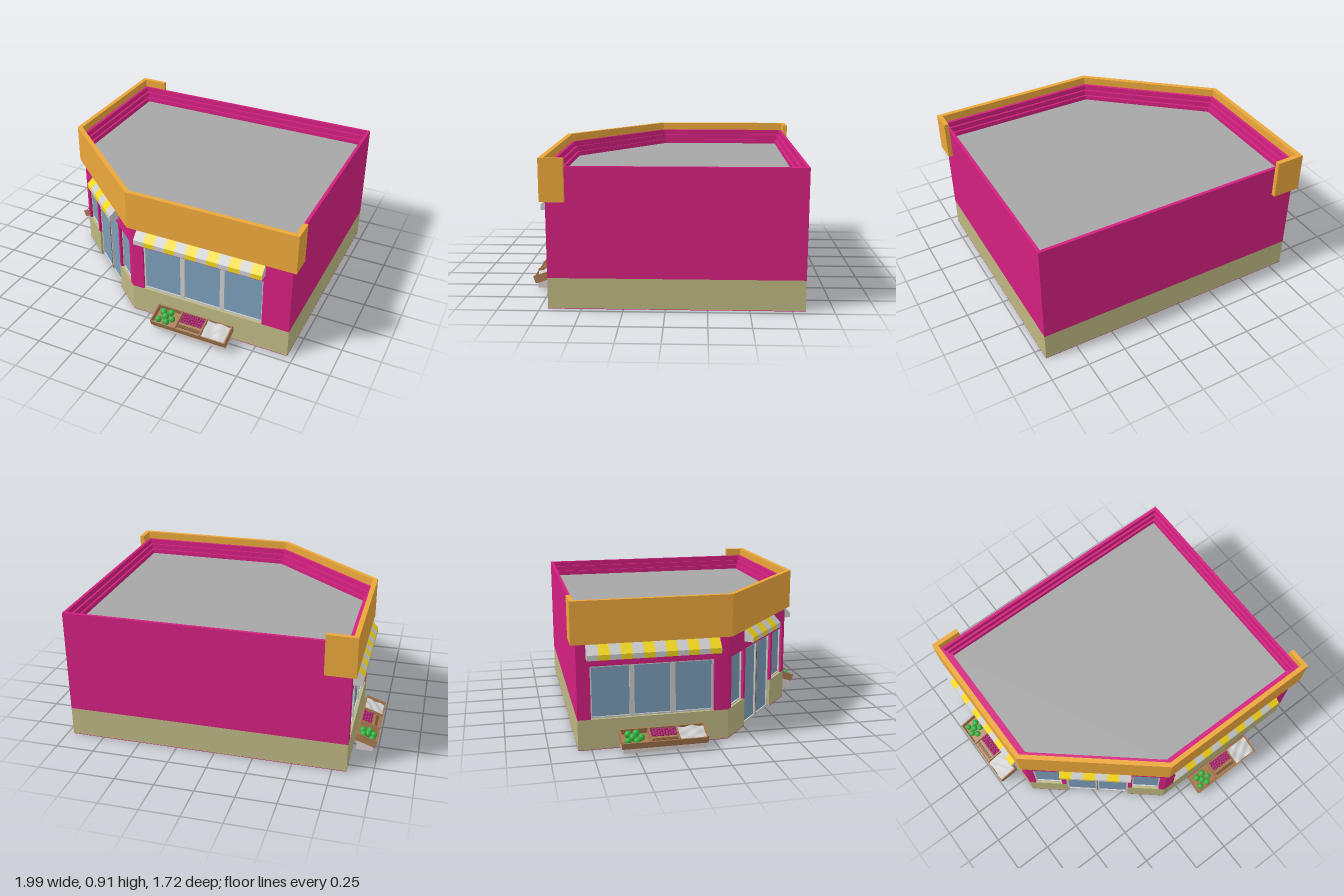
import * as THREE from 'three';

const mat = (color) => new THREE.MeshStandardMaterial({ color });
const M = {
  pink: mat(0xd4207f), khaki: mat(0xbdb782), orange: mat(0xeba73a), glass: mat(0x7b9db8),
  grey: mat(0xcccccc), roof: mat(0xa6a6a6), yellow: mat(0xf0d51c), wood: mat(0xa87a50),
  darkWood: mat(0x74512f), green: mat(0x35b040), grape: mat(0xa81f6c), stand: mat(0xd8cccb),
};

// Footprint corners (x, z); each wall runs left to right as seen from outside
const PLAN = [[-0.84, -0.83], [-0.84, 0.09], [-0.12, 0.70], [0.96, 0.70], [0.96, -0.83]];
const N = PLAN.length, THICK = 0.05, BASE = 0.19, HEAD = 0.515;
const edge = (i) => {
  const [a, b] = [PLAN[(i + N) % N], PLAN[(i + 1 + N) % N]];
  const L = Math.hypot(b[0] - a[0], b[1] - a[1]);
  return { a, L, dx: (b[0] - a[0]) / L, dz: (b[1] - a[1]) / L };
};
// tan of half the turn at corner i, used for mitres
const mitre = (i) => {
  const p = edge(i - 1), q = edge(i);
  return Math.tan(Math.acos(p.dx * q.dx + p.dz * q.dz) / 2);
};
// Footprint grown by d (negative shrinks)
const offset = (d) => PLAN.map(([x, z], i) => {
  const e = edge(i), m = mitre(i);
  return [x - d * e.dx * m - d * e.dz, z - d * e.dz * m + d * e.dx];
});

function add(parent, name, geometry, material, x = 0, y = 0, z = 0) {
  const mesh = new THREE.Mesh(geometry, material);
  mesh.name = name;
  mesh.position.set(x, y, z);
  parent.add(mesh);
  return mesh;
}
const box = (parent, name, material, w, h, d, x, y, z) =>
  add(parent, name, new THREE.BoxGeometry(w, h, d), material, x, y, z);

// Plan outline (x, z) raised from y0 to y1, with an optional hole
function slab(parent, name, material, outline, y0, y1, hole) {
  const v = (pts) => pts.map(([x, z]) => new THREE.Vector2(x, -z));
  const shape = new THREE.Shape(v(outline));
  if (hole) shape.holes.push(new THREE.Path(v(hole)));
  const g = new THREE.ExtrudeGeometry(shape, { depth: y1 - y0, bevelEnabled: false });
  return add(parent, name, g.rotateX(-Math.PI / 2), material, 0, y0, 0);
}

// One band of a wall, cut by openings [left, right, sill], with mitred ends
function wallBand(parent, name, material, i, y0, y1, openings) {
  const { L } = edge(i), shapes = [];
  let pts = [[0, y1], [0, y0]];
  const close = () => shapes.push(new THREE.Shape(pts.map((p) => new THREE.Vector2(...p))));
  for (const [a, b, sill] of openings) {
    if (sill > y0) continue;
    pts.push([a, y0]);
    if (HEAD >= y1) {
      pts.push([a, y1]);
      close();
      pts = [[b, y1], [b, y0]];
    } else pts.push([a, HEAD], [b, HEAD], [b, y0]);
  }
  pts.push([L, y0], [L, y1]);
  close();
  const g = new THREE.ExtrudeGeometry(shapes, { depth: THICK, bevelEnabled: false });
  g.translate(0, 0, -THICK);
  const p = g.attributes.position;
  for (let k = 0; k < p.count; k++) {
    if (p.getZ(k) > -THICK / 2) continue;
    if (p.getX(k) < 1e-4) p.setX(k, THICK * mitre(i));
    else if (p.getX(k) > L - 1e-4) p.setX(k, L - THICK * mitre((i + 1) % N));
  }
  g.computeVertexNormals();
  add(parent, name, g, material);
}

// Glazed panel set back in an opening, divided into equal panes
function glazing(parent, name, a, b, sill, panes, bar, mullion) {
  const g = new THREE.Group(), w = b - a, h = HEAD - sill, cx = (a + b) / 2, cy = (sill + HEAD) / 2;
  g.name = name;
  parent.add(g);
  box(g, 'backing', M.grey, w, h, 0.016, cx, cy, -0.036);
  box(g, 'glass', M.glass, w - bar, h - bar, 0.004, cx, cy, -0.026);
  for (const s of [-1, 1]) {
    box(g, 'frameSide', M.grey, bar, h, 0.014, cx + s * (w - bar) / 2, cy, -0.022);
    box(g, 'frameRail', M.grey, w, bar, 0.013, cx, cy + s * (h - bar) / 2, -0.022);
  }
  for (let k = 1; k < panes; k++)
    box(g, 'mullion', M.grey, mullion, h, 0.016, a + (w * k) / panes, cy, -0.022);
}

// Striped awning with a sloped top and a short front lip
function awning(parent, a, b, count, first) {
  const g = new THREE.Group(), w = (b - a) / count;
  g.name = 'awning';
  parent.add(g);
  const profile = new THREE.Shape([[0, 0.565], [-0.06, 0.565], [-0.06, 0.597], [0, 0.655]]
    .map((p) => new THREE.Vector2(...p)));
  for (let k = 0; k < count; k++) {
    const s = new THREE.ExtrudeGeometry(profile, { depth: w, bevelEnabled: false }).rotateY(Math.PI / 2);
    add(g, 'awningStripe', s, (k + first) % 2 ? M.yellow : M.grey, a + k * w, 0, 0);
  }
  for (const x of [a - 0.001, b])
    add(g, 'awningEnd', new THREE.ExtrudeGeometry(profile, { depth: 0.001, bevelEnabled: false })
      .rotateY(Math.PI / 2), M.grey, x, 0, 0);
}

// Tilted three-bay produce crate on a low stand
function produceCrate(parent, cx) {
  const g = new THREE.Group();
  g.name = 'produceCrate';
  g.position.x = cx;
  parent.add(g);
  const side = new THREE.Shape([[-0.13, 0.012], [-0.025, 0.012], [-0.025, 0.088], [-0.13, 0.05]]
    .map((p) => new THREE.Vector2(...p)));
  add(g, 'stand', new THREE.ExtrudeGeometry(side, { depth: 0.5, bevelEnabled: false })
    .rotateY(Math.PI / 2), M.stand, -0.25, 0, 0);

  const t = new THREE.Group(), W = 0.52, D = 0.137, H = 0.05;
  t.name = 'tray';
  t.position.set(0, 0.088, 0.086);
  t.rotation.x = 0.33;
  g.add(t);
  box(t, 'trayFloor', M.wood, W, 0.006, D, 0, -H / 2 + 0.003, 0);
  for (const s of [-1, 1]) box(t, 'traySide', M.wood, W, H - 0.008, 0.007, 0, -0.004, s * (D / 2 - 0.0035));
  for (let k = 0; k < 4; k++) {
    const x = (k / 3 - 0.5) * (W - 0.008);
    box(t, 'trayDivider', M.wood, 0.008, H, D, x, 0, 0);
  }
  // Green vegetables
  for (const [x, z, r] of [[-0.21, -0.03, 0.023], [-0.16, -0.037, 0.022], [-0.185, 0.0, 0.024],
    [-0.135, 0.005, 0.021], [-0.22, 0.032, 0.021], [-0.165, 0.036, 0.022]])
    add(t, 'vegetable', new THREE.SphereGeometry(r, 12, 8), M.green, x, 0.006, z);
  // Purple fruit in rows, with slats in front
  for (let r = 0; r < 4; r++) for (let c = 0; c < 10; c++)
    add(t, 'fruit', new THREE.SphereGeometry(0.01, 8, 6), M.grape,
      -0.073 + c * 0.0163, 0.003 + 0.004 * Math.sin(c * 2.3 + r * 4), -0.054 + r * 0.017);
  for (let k = 0; k < 3; k++) box(t, 'slat', k % 2 ? M.darkWood : M.wood, 0.16, 0.005, 0.016, 0, 0.004, 0.018 + k * 0.019);
  // Lumpy grey cover
  const cover = new THREE.PlaneGeometry(0.162, 0.122, 14, 10).rotateX(-Math.PI / 2);
  const p = cover.attributes.position;
  for (let k = 0; k < p.count; k++)
    p.setY(k, 0.008 + 0.007 * Math.sin(p.getX(k) * 60 + p.getZ(k) * 35) * Math.cos(p.getZ(k) * 55));
  cover.computeVertexNormals();
  const cm = M.grey.clone();
  cm.side = THREE.DoubleSide;
  add(t, 'cover', cover, cm, 0.173, 0, 0);
}

export function createModel() {
  const model = new THREE.Group();
  model.name = 'cornerShop';

  // Openings per wall: [left, right, sill]
  const openings = [
    [[0.08, 0.83, BASE]],
    [[0.042, 0.228, BASE], [0.256, 0.688, 0], [0.716, 0.902, BASE]],
    [[0.08, 0.90, BASE]], [], [],
  ];
  const names = ['sideWall', 'entranceWall', 'frontWall', 'plainSideWall', 'backWall'];
  const walls = names.map((name, i) => {
    const { a, dx, dz } = edge(i), g = new THREE.Group();
    g.name = name;
    g.position.set(a[0], 0, a[1]);
    g.rotation.y = Math.atan2(-dz, dx);
    model.add(g);
    wallBand(g, 'footing', M.pink, i, 0, 0.003, openings[i]);
    wallBand(g, 'plinth', M.khaki, i, 0.003, BASE, openings[i]);
    wallBand(g, 'upperWall', M.pink, i, BASE, 0.79, openings[i]);
    return g;
  });

  // Shop windows, entrance, awnings and crates
  const [side, entrance, front] = walls;
  glazing(side, 'shopWindow', ...openings[0][0], 3, 0.01, 0.03);
  glazing(front, 'shopWindow', ...openings[2][0], 3, 0.01, 0.03);
  glazing(entrance, 'entranceWindow', ...openings[1][0], 1, 0.008, 0);
  glazing(entrance, 'entranceDoor', ...openings[1][1], 2, 0.014, 0.026);
  glazing(entrance, 'entranceWindow', ...openings[1][2], 1, 0.008, 0);
  box(entrance, 'doorGap', M.darkWood, 0.004, HEAD - 0.02, 0.004, 0.472, HEAD / 2, -0.013);
  awning(side, 0.06, 0.86, 12, 0);
  awning(entrance, 0.237, 0.707, 6, 1);
  awning(front, 0.05, 0.91, 12, 0);
  produceCrate(side, 0.50);
  produceCrate(front, 0.465);

  // Stepped parapet and roof
  slab(model, 'parapetStep', M.pink, PLAN, 0.79, 0.825, offset(-0.035));
  slab(model, 'parapetTop', M.pink, PLAN, 0.825, 0.86, offset(-0.02));
  slab(model, 'roof', M.roof, offset(-0.049), 0.752, 0.76);

  // Sign band wrapping the shop sides
  const o = offset(0.03);
  slab(model, 'signBand', M.orange, [
    [-0.68, o[0][1]], ...o.slice(0, 4), [o[3][0], 0.585],
    [PLAN[3][0], 0.585], ...PLAN.slice(0, 4).reverse(), [-0.68, PLAN[0][1]],
  ], 0.655, 0.912);

  return model;
}
